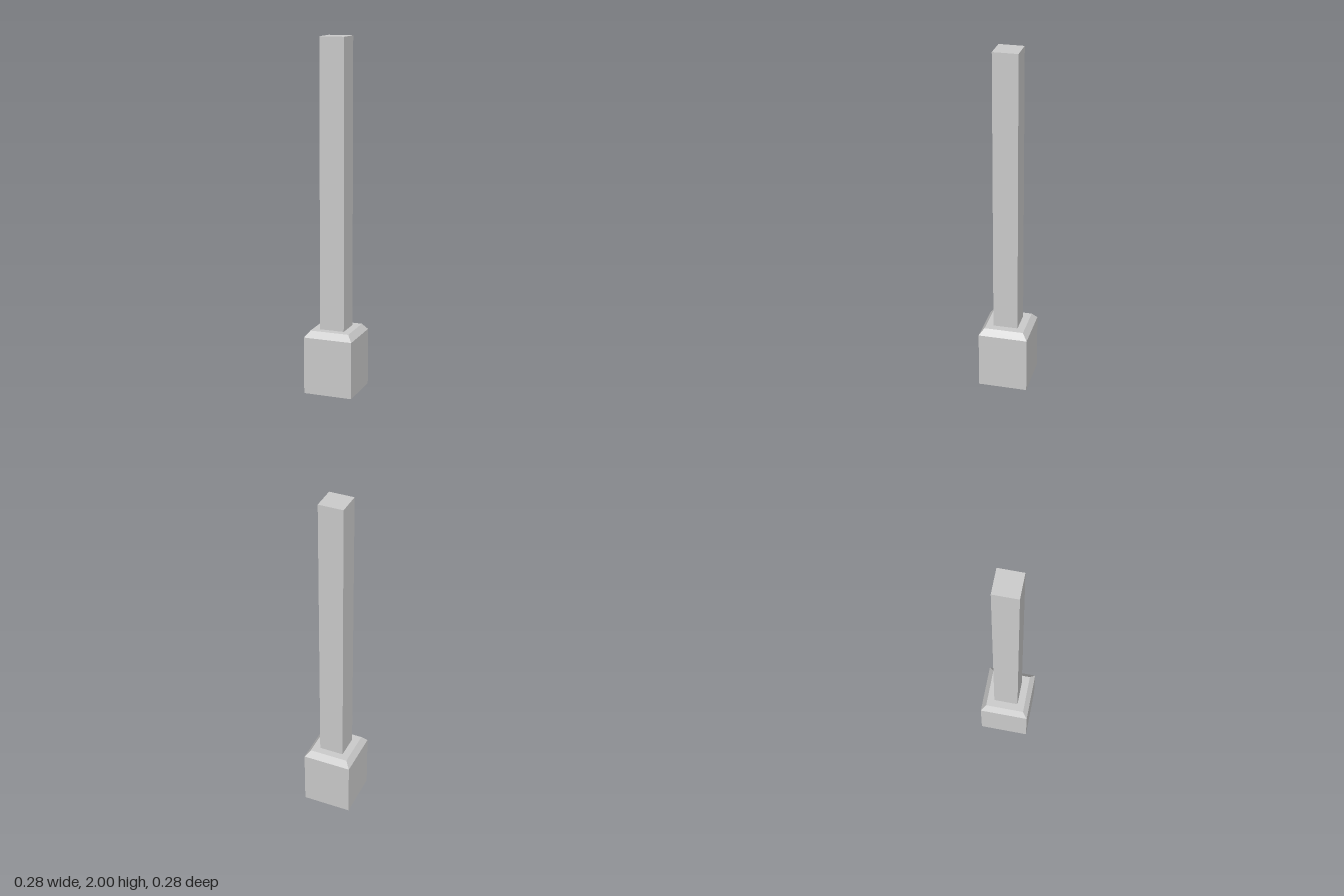
import * as THREE from 'three';

const material = new THREE.MeshStandardMaterial({
  color: 0xcccccc, flatShading: true, side: THREE.DoubleSide,
});

// Square shell from [half width, height] pairs, listed bottom to top
function squareShell(name, profile) {
  const points = profile.map(([half, y]) => new THREE.Vector2(half * Math.SQRT2, y));
  const geometry = new THREE.LatheGeometry(points, 4).rotateY(Math.PI / 4);
  const mesh = new THREE.Mesh(geometry, material);
  mesh.name = name;
  return mesh;
}

export function createModel() {
  const group = new THREE.Group();
  group.name = 'postOnPlinth';

  // Hollow plinth, open underneath, with a bevelled top and a flat ledge around the post
  group.add(squareShell('plinth', [[0.141, 0], [0.141, 0.328], [0.113, 0.364], [0.071, 0.364]]));

  // Square post with a closed top
  group.add(squareShell('post', [[0.071, 0.364], [0.071, 2], [0, 2]]));

  return group;
}
